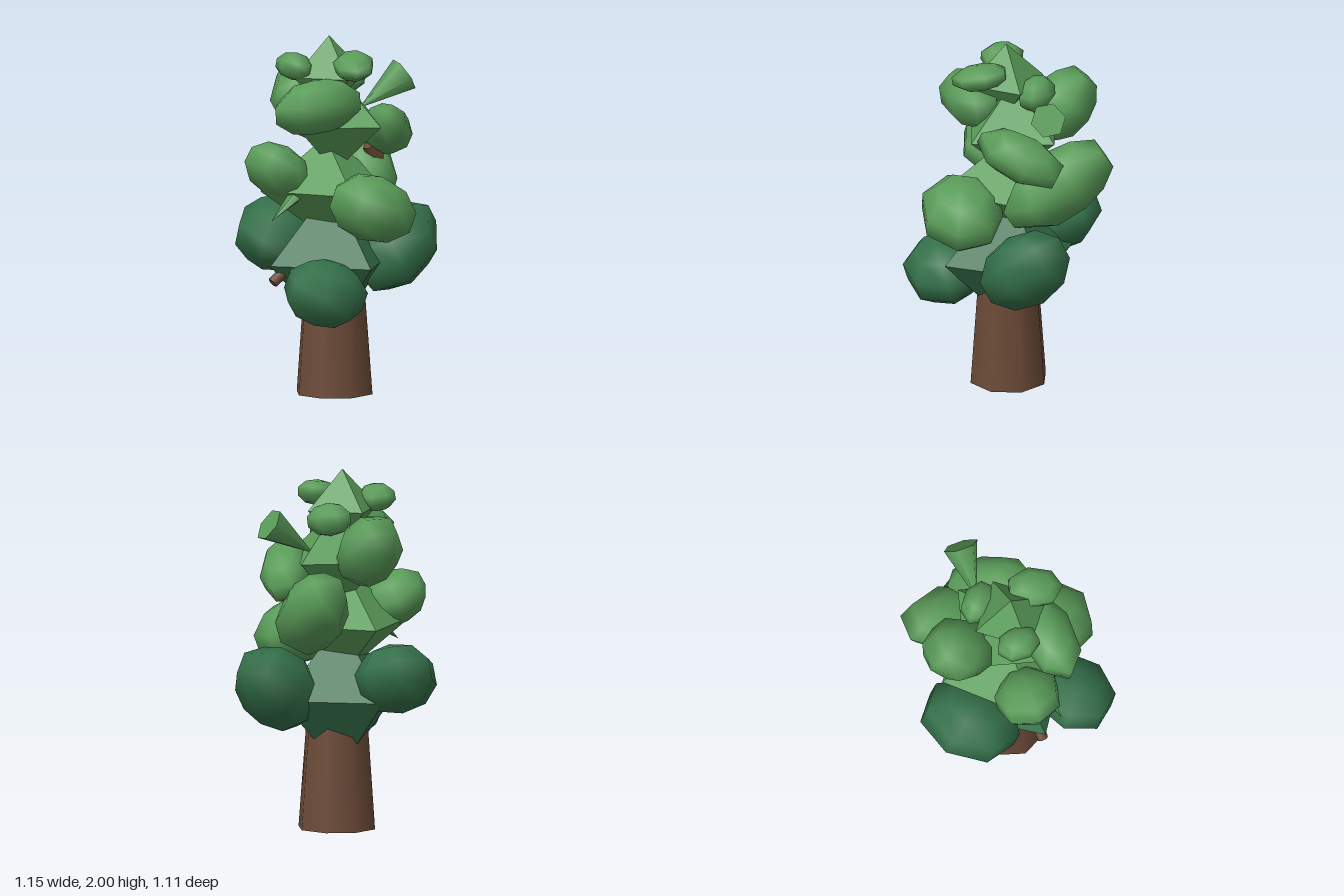
import * as THREE from 'three';

const V = (a) => new THREE.Vector3(...a);

export function createModel() {
  const tree = new THREE.Group();
  const mat = (name, color) => {
    const m = new THREE.MeshStandardMaterial({ color });
    m.name = name;
    return m;
  };
  const bark = mat('bark brown', 0x6b4a37);
  const light = mat('leaf green', 0x5a9c59);
  const dark = mat('deep leaf green', 0x34704a);

  const add = (name, geometry, material) => {
    const mesh = new THREE.Mesh(geometry, material);
    mesh.name = name;
    tree.add(mesh);
    return mesh;
  };

  // Low-sided ellipsoid: centre, long axis, flat-side normal, radii (long, middle, thin)
  const clump = (name, material, centre, axis, normal, radii) => {
    const e1 = V(axis).normalize();
    const e3 = V(normal).addScaledVector(e1, -V(normal).dot(e1)).normalize();
    const g = new THREE.SphereGeometry(1.03, 7, 5); // poles along the thin axis
    g.scale(radii[0], radii[2], radii[1]);
    g.applyMatrix4(new THREE.Matrix4().makeBasis(e1, e3, e1.clone().cross(e3)));
    g.translate(...centre);
    add(name, g, material);
  };

  // Faceted core: an octahedron with flat faces
  const core = (name, material, centre, radius, height, yaw) => {
    const g = new THREE.OctahedronGeometry(1); // unshared corners keep the faces flat
    g.scale(radius, height, radius);
    g.rotateY(yaw);
    g.translate(...centre);
    add(name, g, material);
  };

  // Tapered rod between two points
  const rod = (name, material, from, to, r0, r1, sides = 6) => {
    const a = V(from), b = V(to), d = b.clone().sub(a);
    const g = new THREE.CylinderGeometry(r1, r0, d.length(), sides);
    const mesh = add(name, g, material);
    mesh.position.copy(a).add(b).multiplyScalar(0.5);
    mesh.quaternion.setFromUnitVectors(new THREE.Vector3(0, 1, 0), d.normalize());
  };

  // Trunk and twigs
  rod('trunk', bark, [-0.055, 0, 0.025], [-0.058, 0.88, 0.025], 0.22, 0.155, 8);
  rod('lowerTwig', bark, [-0.12, 0.92, 0.04], [-0.45, 0.645, 0.05], 0.04, 0.03);
  rod('upperTwig', bark, [0.17, 1.37, 0.01], [0.23, 1.275, 0.0], 0.045, 0.045);

  // Faceted cores, bottom to top
  core('lowerCore', dark, [-0.07, 0.74, 0.01], 0.4, 0.42, 0.12);
  core('middleCore', light, [-0.1, 1.15, 0.0], 0.39, 0.28, -0.06);
  core('upperCore', light, [-0.04, 1.51, 0.0], 0.325, 0.28, 0.43);
  core('crownCore', light, [-0.09, 1.78, 0.025], 0.22, 0.22, 0.03);

  // Leaf spikes
  rod('flaredSprig', light, [0.16, 1.57, -0.07], [0.41, 1.735, -0.045], 0.005, 0.1);
  rod('pointedSprig', light, [-0.2, 1.22, 0.05], [-0.5, 1.01, 0.14], 0.07, 0.001, 5);

  // Leaf clumps: name, material, centre, long axis, normal, radii
  const clumps = [
    ['lowerFrontClump', dark, [-0.265, 0.615, 0.325], [1, -0.12, -0.2], [0, 0.9, 0.35], [0.245, 0.22, 0.175]],
    ['lowerLeftClump', dark, [0.305, 0.8, 0.05], [0.62, 0.55, -0.3], [-0.5, 0.8, 0.3], [0.3, 0.23, 0.2]],
    ['lowerBackClump', dark, [-0.25, 0.86, -0.3], [0.7, 0.22, -0.7], [0, 0.9, 0.35], [0.285, 0.23, 0.19]],
    ['middleFrontClump', light, [0.02, 1.07, 0.325], [1, -0.35, 0], [0.3, 0.9, 0.1], [0.255, 0.23, 0.18]],
    ['middleRightClump', light, [-0.395, 1.265, -0.015], [0.85, -0.5, 0.1], [0.5, 0.85, 0], [0.195, 0.185, 0.14]],
    ['middleBackClump', light, [0.205, 1.24, -0.18], [0.08, 0.55, -0.85], [0, 0.85, 0.55], [0.345, 0.18, 0.19]],
    ['upperBackClump', light, [-0.085, 1.585, -0.295], [0, 0.65, -0.6], [0, 0.6, 0.65], [0.24, 0.18, 0.165]],
    ['upperRightClump', light, [-0.24, 1.635, 0.18], [1, 0.12, -0.05], [0, 1, 0.1], [0.27, 0.15, 0.15]],
    ['upperLeftClump', light, [0.25, 1.455, 0.06], [0.45, -0.4, -0.75], [0.4, 0.85, 0], [0.26, 0.14, 0.125]],
    ['crownRightClump', light, [-0.28, 1.835, -0.02], [0, 0, 1], [0.2, 1, 0], [0.125, 0.1, 0.075]],
    ['crownFrontClump', light, [-0.025, 1.85, 0.2], [0.3, 0.15, -0.8], [-0.2, 1, 0.25], [0.16, 0.115, 0.07]],
    ['crownBackClump', light, [0.06, 1.745, -0.1], [0.5, -0.1, 0.6], [0.1, 1, 0.1], [0.13, 0.095, 0.09]],
  ];
  for (const c of clumps) clump(...c);

  return tree;
}
